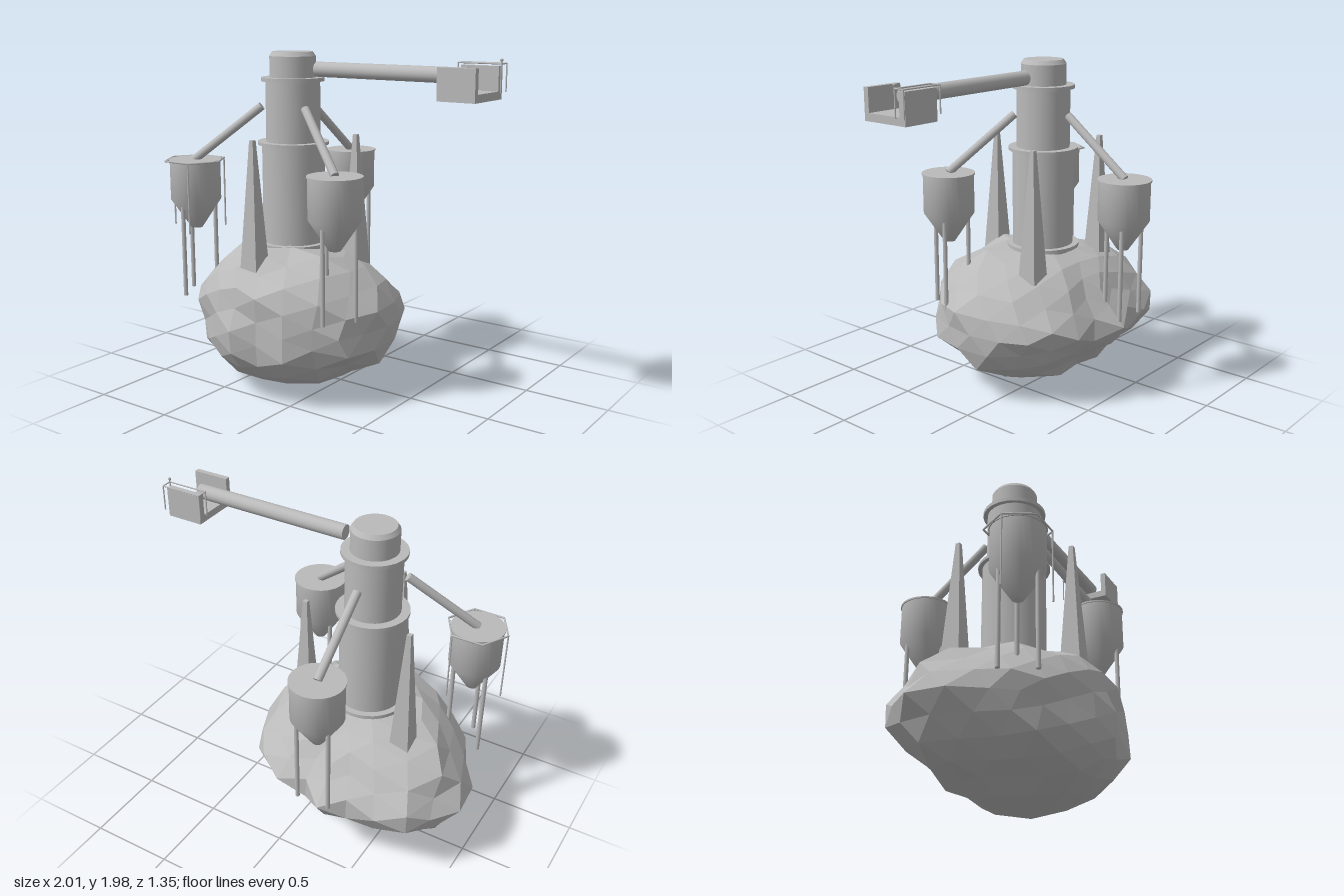
import * as THREE from 'three';

const CX = -0.286, CZ = 0.08; // tower axis

export function createModel() {
  const model = new THREE.Group();
  model.name = 'asteroidRefinery';
  const grey = new THREE.MeshStandardMaterial({ color: 0xbababa });
  grey.name = 'grey';
  const rockGrey = grey.clone();
  rockGrey.name = 'grey faceted';
  rockGrey.flatShading = true;

  const add = (name, geometry, x, y, z, parent = model, material = grey) => {
    const mesh = new THREE.Mesh(geometry, material);
    mesh.name = name;
    mesh.position.set(x, y, z);
    parent.add(mesh);
    return mesh;
  };
  // upright cylinder between two heights
  const column = (name, rTop, rBottom, y0, y1, x, z, parent, sides = 32) =>
    add(name, new THREE.CylinderGeometry(rTop, rBottom, y1 - y0, sides), x, (y0 + y1) / 2, z, parent);
  // rod between two points
  const rod = (name, a, b, r, parent, sides = 16) => {
    const dir = b.clone().sub(a);
    const mid = a.clone().add(b).multiplyScalar(0.5);
    const mesh = add(name, new THREE.CylinderGeometry(r, r, dir.length(), sides), mid.x, mid.y, mid.z, parent);
    mesh.quaternion.setFromUnitVectors(new THREE.Vector3(0, 1, 0), dir.normalize());
    return mesh;
  };
  const group = (name) => {
    const g = new THREE.Group();
    g.name = name;
    model.add(g);
    return g;
  };
  const V = (x, y, z) => new THREE.Vector3(x, y, z);
  const { lerp } = THREE.MathUtils;

  // Rock outline: radius per heading, every 15 degrees from +x towards +z
  const headings = [
    0.71, 0.7, 0.69, 0.67, 0.65, 0.6, 0.59, 0.57, 0.56, 0.57, 0.59, 0.6,
    0.67, 0.73, 0.72, 0.7, 0.61, 0.56, 0.58, 0.55, 0.59, 0.65, 0.66, 0.69,
  ];
  // Rock fullness by elevation for the +x, +z, -x and -z sides
  const elevations = [-90, -62, -40, 0, 28, 50, 90];
  const fullness = [
    [1.02, 0.98, 1.0, 1.01, 0.99, 1.03, 0.97],
    [1.02, 0.98, 1.02, 1.0, 1.04, 1.08, 0.97],
    [1.02, 0.93, 1.0, 1.01, 0.98, 1.0, 0.97],
    [1.02, 0.96, 0.83, 1.0, 0.92, 0.97, 0.97],
  ];
  // Local spurs and dents: direction, amount, spread
  const features = [
    [V(0, 0.03, -1), 0.11, 0.04],
    [V(0.56, 0.77, -0.32), -0.1, 0.08],
  ];
  const hash = (d) => {
    const s = Math.sin(Math.round(d.x * 50) * 12.99 + Math.round(d.y * 50) * 78.23 + Math.round(d.z * 50) * 37.72) * 43758.5453;
    return s - Math.floor(s);
  };
  const sample = (ring, t) => {
    const k = Math.floor(t);
    return lerp(ring[k % ring.length], ring[(k + 1) % ring.length], t - k);
  };
  const rock = new THREE.IcosahedronGeometry(1, 3);
  const p = rock.attributes.position;
  const d = V(0, 0, 0);
  for (let i = 0; i < p.count; i++) {
    d.fromBufferAttribute(p, i);
    const turn = (Math.atan2(d.z, d.x) / (Math.PI * 2) + 1) % 1;
    const elevation = THREE.MathUtils.radToDeg(Math.asin(THREE.MathUtils.clamp(d.y, -1, 1)));
    let e = 0;
    while (e < 5 && elevation > elevations[e + 1]) e++;
    const f = (elevation - elevations[e]) / (elevations[e + 1] - elevations[e]);
    let s = sample(fullness.map((side) => lerp(side[e], side[e + 1], f)), turn * 4);
    s *= 0.94 + 0.1 * hash(d);
    for (const [dir, amount, spread] of features) s += amount * Math.exp(-d.distanceToSquared(dir) / spread);
    const r = sample(headings, turn * 24) * s;
    p.setXYZ(i, d.x * r, d.y * 0.435 * s, d.z * r);
  }
  rock.computeBoundingBox();
  rock.translate(0, -rock.boundingBox.min.y, 0);
  rock.computeVertexNormals();
  add('rock', rock, -0.29, 0, 0.08, model, rockGrey);

  // Tower: stacked drums, collars and a bevelled cap
  const tower = group('tower');
  [
    ['baseDrum', 0.185, 0.185, 0.82, 1.45],
    ['baseCollar', 0.222, 0.222, 0.84, 0.862],
    ['middleCollar', 0.21, 0.21, 1.44, 1.458],
    ['upperDrum', 0.16, 0.16, 1.45, 1.82],
    ['upperCollar', 0.185, 0.185, 1.808, 1.83],
    ['cap', 0.135, 0.135, 1.82, 1.952],
    ['capBevel', 0.118, 0.135, 1.952, 1.977],
  ].forEach(([name, rt, rb, y0, y1]) => column(name, rt, rb, y0, y1, CX, CZ, tower));

  // Hoppers on three legs, each fed by a sloping pipe
  const hopperAt = (angle, radius) => [CX + Math.cos(angle) * radius, CZ + Math.sin(angle) * radius];
  const hopperProfile = [[0, 0.925], [0.033, 0.925], [0.15, 1.1], [0.15, 1.335]].map(([r, y]) => new THREE.Vector2(r, y));
  [30, 150, 270].forEach((deg) => {
    const angle = THREE.MathUtils.degToRad(deg);
    const [x, z] = hopperAt(angle, 0.595);
    const hopper = group('hopper');
    column('hopperLip', 0.156, 0.156, 1.33, 1.34, x, z, hopper);
    add('hopperBody', new THREE.LatheGeometry(hopperProfile, 32), x, 0, z, hopper);
    for (let i = 0; i < 3; i++) {
      const t = Math.PI / 2 + (i * Math.PI * 2) / 3;
      column('hopperLeg', 0.013, 0.013, 0.52, 1.1, x + Math.cos(t) * 0.115, z + Math.sin(t) * 0.115, hopper, 10);
    }
    const [sx, sz] = hopperAt(angle, 0.185);
    rod('feedPipe', V(sx, 1.66, sz), V(x, 1.34, z), 0.025, hopper);
  });

  // Hexagonal guard rail round one front hopper
  const [gx, gz] = hopperAt((Math.PI * 5) / 6, 0.595);
  const guard = group('hopperRail');
  add('railRing', new THREE.TorusGeometry(0.181, 0.006, 6, 6), gx, 1.337, gz, guard).rotation.x = Math.PI / 2;
  [60, 180, 300].forEach((deg) => {
    const t = THREE.MathUtils.degToRad(deg);
    column('railPost', 0.005, 0.005, 0.92, 1.337, gx + Math.cos(t) * 0.18, gz + Math.sin(t) * 0.18, guard, 8);
  });

  // Tapered square pylons between the hoppers
  [90, 210, 330].forEach((deg) => {
    const [x, z] = hopperAt(THREE.MathUtils.degToRad(deg), 0.37);
    const g = new THREE.CylinderGeometry(0.013 * Math.SQRT2, 0.061 * Math.SQRT2, 0.78, 4);
    g.rotateY(Math.PI / 4);
    add('pylon', g, x, 1.11, z, model, rockGrey);
  });

  // Boom arm with an open docking cradle at its end
  const dock = group('dockingArm');
  rod('boom', V(-0.108, 1.881, 0.077), V(0.853, 1.881, 0.077), 0.043, dock, 24);
  const box = (name, x0, x1, y0, y1, z0, z1) =>
    add(name, new THREE.BoxGeometry(x1 - x0, y1 - y0, z1 - z0), (x0 + x1) / 2, (y0 + y1) / 2, (z0 + z1) / 2, dock);
  box('cradleFloor', 0.757, 0.977, 1.757, 1.8, -0.072, 0.225);
  box('cradleFrontWall', 0.757, 0.977, 1.8, 1.93, 0.193, 0.225);
  box('cradleBackWall', 0.757, 0.977, 1.8, 1.93, -0.072, -0.03);

  // Rail around the cradle's back wall, with a small beacon
  const corners = [[0.745, -0.083], [0.995, -0.083], [0.995, -0.021], [0.745, -0.021]];
  corners.forEach(([x, z], i) => {
    const [nx, nz] = corners[(i + 1) % 4];
    rod('cradleRail', V(x, 1.943, z), V(nx, 1.943, nz), 0.004, dock, 8);
    column('cradleRailPost', 0.004, 0.004, 1.795, 1.945, x, z, dock, 8);
  });
  column('beaconMast', 0.004, 0.004, 1.94, 1.962, 0.995, -0.021, dock, 8);
  add('beacon', new THREE.SphereGeometry(0.009, 10, 8), 0.995, 1.962, -0.021, dock);

  return model;
}
